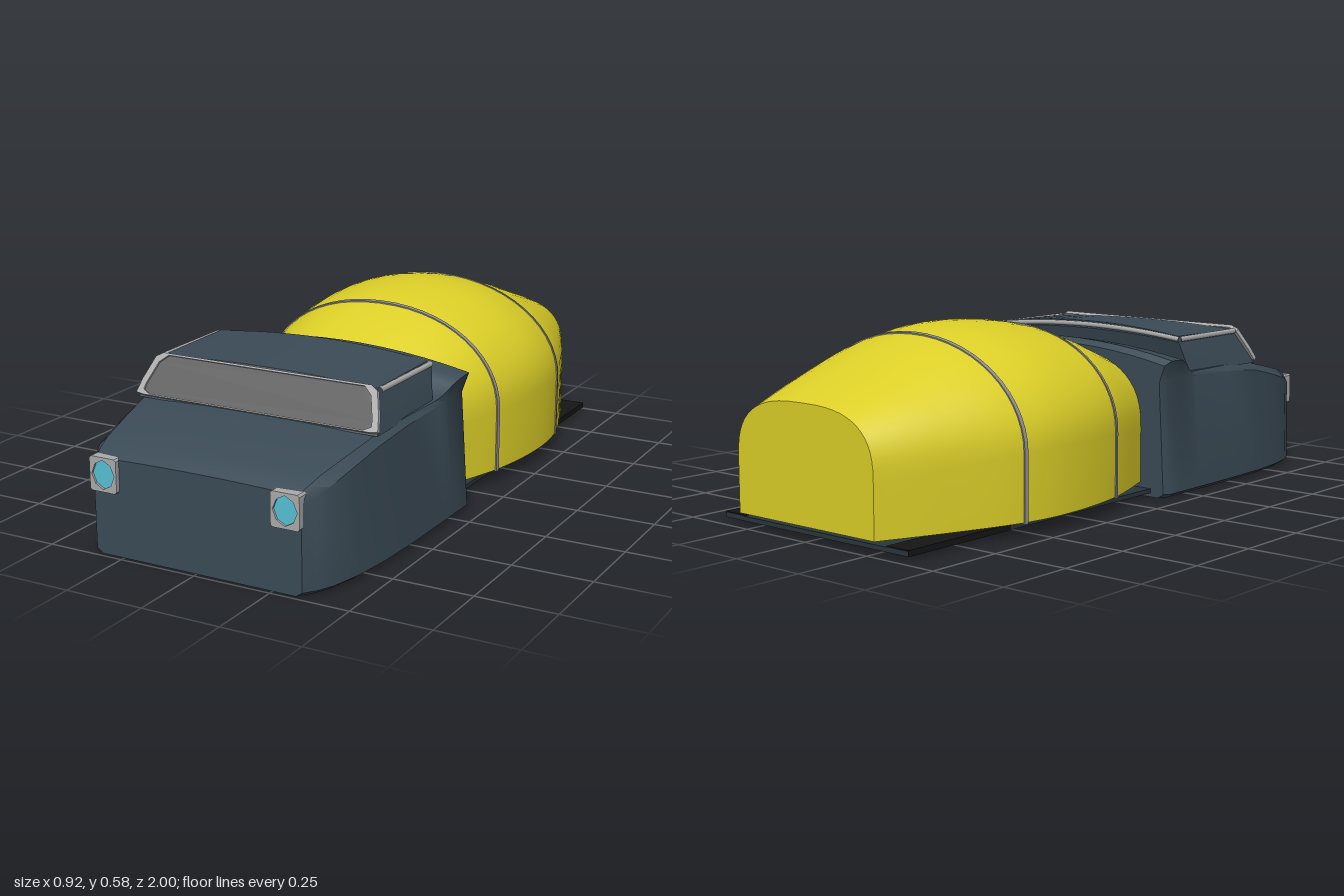
import * as THREE from 'three';
import { toCreasedNormals } from 'three/addons/utils/BufferGeometryUtils.js';

const mat = (color) => new THREE.MeshStandardMaterial({ color });
const slate = mat(0x3a4a55), yellow = mat(0xdccf28), grey = mat(0xaaaaaa), band = mat(0x8c8c90);
const glass = mat(0x595959), cyan = mat(0x55bfd2), plate = mat(0x2a353b), black = mat(0x151515);

// Skin closed rings (counter-clockwise along the direction of travel) and cap both ends
function loft(rings, crease = 0.6) {
  const pos = [];
  const tri = (...pts) => pts.forEach((p) => pos.push(p.x, p.y, p.z));
  const n = rings[0].length;
  for (let i = 0; i < rings.length - 1; i++) {
    for (let j = 0; j < n; j++) {
      const k = (j + 1) % n;
      tri(rings[i][j], rings[i][k], rings[i + 1][k]);
      tri(rings[i][j], rings[i + 1][k], rings[i + 1][j]);
    }
  }
  for (const [ring, flip] of [[rings[0], true], [rings[rings.length - 1], false]]) {
    const c = ring.reduce((s, p) => s.add(p), new THREE.Vector3()).divideScalar(n);
    for (let j = 0; j < n; j++) {
      const k = (j + 1) % n;
      if (flip) tri(c, ring[k], ring[j]);
      else tri(c, ring[j], ring[k]);
    }
  }
  const geo = new THREE.BufferGeometry();
  geo.setAttribute('position', new THREE.Float32BufferAttribute(pos, 3));
  return toCreasedNormals(geo, crease);
}

// Mirror a right-hand half outline (bottom to top centre) into a closed ring
function mirrorRing(half, z) {
  const left = half.filter((p) => p[0] > 1e-6).reverse().map(([x, y]) => [-x, y]);
  return [...half, ...left].map(([x, y]) => new THREE.Vector3(x, y, z));
}

// Drum: arched section whose width and height vary along z
const widths = new THREE.SplineCurve([[-1, 0.28], [-0.8, 0.362], [-0.56, 0.442], [-0.35, 0.459],
  [-0.11, 0.425], [0.13, 0.34]].map((p) => new THREE.Vector2(...p)));
const tops = new THREE.SplineCurve([[-1, 0.4], [-0.8, 0.472], [-0.56, 0.555], [-0.35, 0.58],
  [-0.11, 0.55], [0.13, 0.455]].map((p) => new THREE.Vector2(...p)));
const at = (curve, z) => {
  let lo = 0, hi = 1;
  for (let i = 0; i < 30; i++) {
    const m = (lo + hi) / 2;
    if (curve.getPoint(m).x < z) lo = m; else hi = m;
  }
  return curve.getPoint(lo).y;
};
function drumRing(z, grow = 0) {
  const w = at(widths, z) + grow, top = at(tops, z) + grow;
  const spring = 0.1 + 0.26 * top, half = [[w, 0.045 - grow]];
  const e = 2 / (2 + 0.8 * Math.max(0, (0.45 - w) / 0.17)); // squarer towards the ends
  for (let i = 0; i <= 14; i++) {
    const a = (i / 14) * Math.PI / 2;
    const x = i === 14 ? 0 : w * Math.cos(a) ** e;
    half.push([x, spring + (top - spring) * Math.sin(a) ** e]);
  }
  return mirrorRing(half, z);
}

// Cab section: sill, slanted side, shoulder and crowned top
function cabRing([z, sill, side, sideY, edge, edgeY, top]) {
  const half = [[sill - 0.02, 0], [sill, 0.014], [side, sideY]];
  for (let i = 6; i >= 0; i--) {
    const u = i / 6;
    half.push([edge * u, edgeY + (top - edgeY) * (1 - u * u)]);
  }
  return mirrorRing(half, z);
}

export function createModel() {
  const model = new THREE.Group();
  const add = (name, geo, material, parent = model) => {
    const mesh = new THREE.Mesh(geo, material);
    mesh.name = name;
    parent.add(mesh);
    return mesh;
  };

  // Chassis plate and its rear side strips
  add('chassisPlate', new THREE.BoxGeometry(0.76, 0.014, 1.12), plate).position.set(0, 0.02, -0.41);
  for (const s of [-1, 1]) {
    add('rearStrip', new THREE.BoxGeometry(0.085, 0.018, 0.42), black).position.set(s * 0.339, 0.022, -0.76);
  }

  // Drum and its two bands
  const rings = [];
  for (let i = 0; i <= 32; i++) rings.push(drumRing(-1 + 1.125 * i / 32));
  add('drum', loft(rings), yellow);
  for (const z of [-0.555, -0.11]) {
    add('drumBand', loft([drumRing(z - 0.006, 0.004), drumRing(z + 0.006, 0.004)]), band);
  }

  // Cab body, front to back: z, sill, side, sideY, edge, edgeY, top; the rear rises into an eared ridge
  const stations = [
    [0.985, 0.345, 0.345, 0.27, 0.335, 0.293, 0.3],
    [0.95, 0.372, 0.365, 0.28, 0.345, 0.31, 0.32],
    [0.9, 0.397, 0.385, 0.3, 0.355, 0.328, 0.34],
    [0.8, 0.42, 0.4, 0.325, 0.372, 0.35, 0.362],
    [0.67, 0.435, 0.415, 0.355, 0.392, 0.377, 0.386],
    [0.5, 0.442, 0.42, 0.37, 0.405, 0.388, 0.393],
    [0.31, 0.444, 0.42, 0.375, 0.41, 0.388, 0.395],
    [0.275, 0.444, 0.42, 0.38, 0.42, 0.4, 0.41],
    [0.245, 0.444, 0.42, 0.38, 0.433, 0.422, 0.452],
    [0.21, 0.444, 0.42, 0.38, 0.443, 0.437, 0.477],
    [0.15, 0.444, 0.42, 0.38, 0.443, 0.44, 0.486],
    [0.128, 0.43, 0.41, 0.37, 0.43, 0.425, 0.47],
  ];
  add('cabBody', loft(stations.reverse().map(cabRing)), slate);

  // Upper cab: side profile swept across x with a crowned roof (z, y, half width, crown)
  const profile = [[0.31, 0.38, 0.4, 0], [0.275, 0.482, 0.378, 0.02], [0.285, 0.5, 0.368, 0.025],
    [0.595, 0.496, 0.366, 0.012], [0.67, 0.38, 0.408, 0]];
  const upper = [];
  for (let i = 0; i <= 12; i++) {
    const u = i / 6 - 1;
    upper.push(profile.map(([z, y, w, c]) => new THREE.Vector3(u * w, y + c * (1 - u * u), z)));
  }
  add('upperCab', loft(upper, 0.4), slate);

  // Windscreen frame and glass on the sloping front
  const windscreen = new THREE.Group();
  windscreen.name = 'windscreen';
  windscreen.position.set(0, 0.385, 0.668);
  windscreen.rotation.x = -Math.atan2(0.07, 0.115);
  model.add(windscreen);
  const mirrored = (half) => [...half, ...half.map(([x, y]) => [-x, y]).reverse()].map((p) => new THREE.Vector2(...p));
  const outer = mirrored([[0.385, 0], [0.412, 0.004], [0.402, 0.05], [0.378, 0.122], [0.355, 0.136]]);
  const inner = mirrored([[0.365, 0.004], [0.388, 0.016], [0.386, 0.034], [0.362, 0.106], [0.335, 0.13]]);
  const frame = new THREE.Shape(outer);
  frame.holes.push(new THREE.Path(inner));
  add('windscreenFrame', new THREE.ExtrudeGeometry(frame, { depth: 0.014, bevelEnabled: false }), grey, windscreen);
  add('windscreenGlass', new THREE.ExtrudeGeometry(new THREE.Shape(inner), { depth: 0.008, bevelEnabled: false }), glass, windscreen);

  // Trim round the sides and rear of the roof
  const trim = new THREE.CurvePath();
  const corners = [[0.374, 0.491, 0.595], [0.377, 0.491, 0.28]];
  const v = (s, [x, y, z]) => new THREE.Vector3(s * x, y, z);
  for (const s of [-1, 1]) {
    add('roofSideTrim', new THREE.TubeGeometry(new THREE.LineCurve3(v(s, corners[0]), v(s, corners[1])), 1, 0.009, 8), grey);
  }
  trim.add(new THREE.QuadraticBezierCurve3(v(-1, corners[1]), new THREE.Vector3(0, 0.536, 0.277), v(1, corners[1])));
  add('roofRearTrim', new THREE.TubeGeometry(trim, 16, 0.008, 8), grey);

  // Headlights: square surround with an eight-sided lens
  for (const s of [-1, 1]) {
    const light = new THREE.Group();
    light.name = 'headlight';
    light.position.set(s * 0.302, 0.249, 0.955);
    model.add(light);
    const oct = [];
    for (let i = 0; i < 8; i++) {
      const a = i * Math.PI / 4;
      const r = i % 2 ? 0.96 : 1;
      oct.push(new THREE.Vector2(0.039 * r * Math.cos(a), 0.044 * r * Math.sin(a)));
    }
    const rim = new THREE.Shape([[-0.046, -0.046], [-0.04, -0.052], [0.04, -0.052], [0.046, -0.046],
      [0.046, 0.046], [0.04, 0.052], [-0.04, 0.052], [-0.046, 0.046]].map((p) => new THREE.Vector2(...p)));
    rim.holes.push(new THREE.Path(oct));
    add('headlightRim', new THREE.ExtrudeGeometry(rim, { depth: 0.045, bevelEnabled: false }), grey, light);
    add('headlightLens', new THREE.ExtrudeGeometry(new THREE.Shape(oct), { depth: 0.038, bevelEnabled: false }), cyan, light);
  }
  return model;
}
